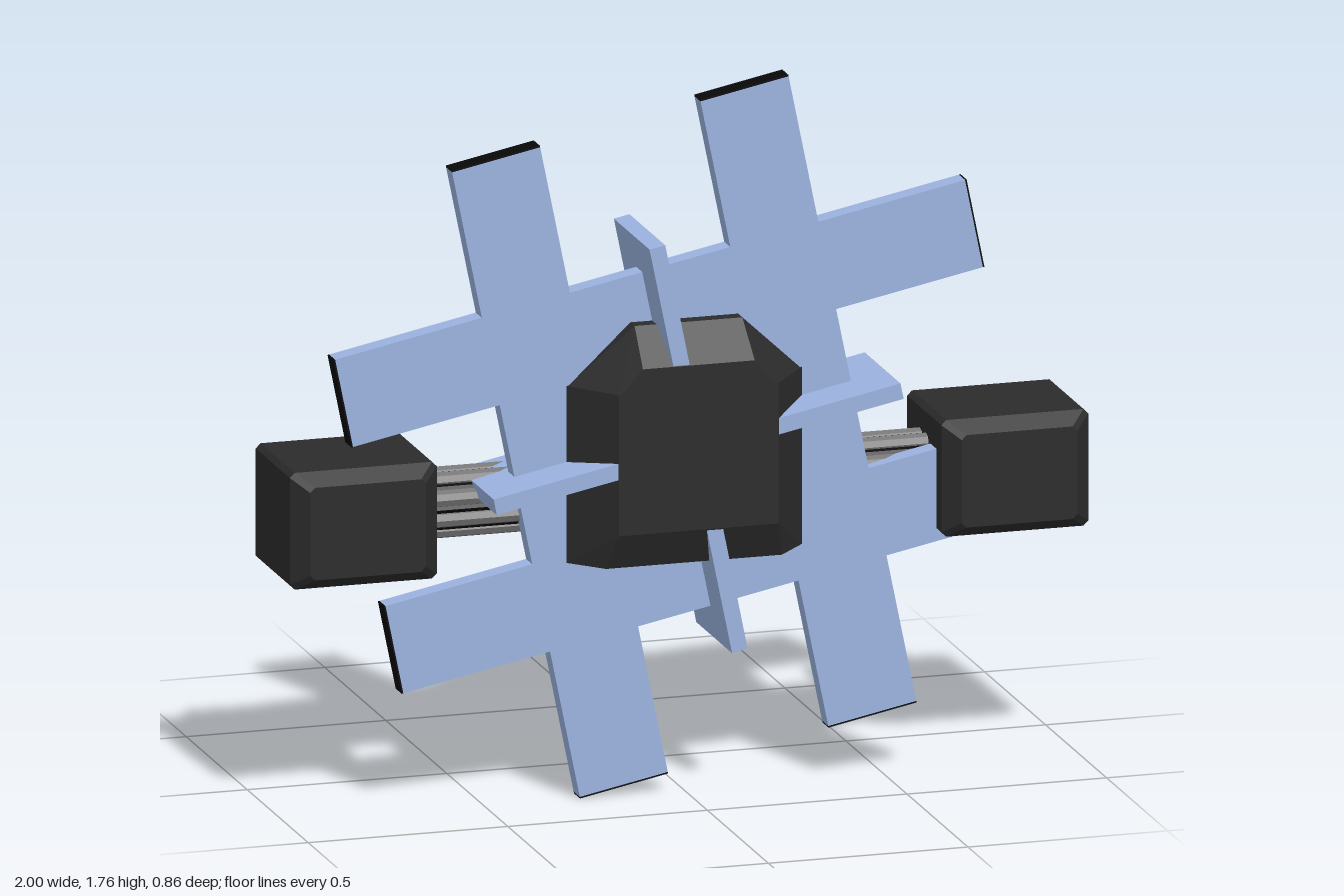
import * as THREE from 'three';
import { ConvexGeometry } from 'three/addons/geometries/ConvexGeometry.js';

const mat = (color) => new THREE.MeshStandardMaterial({ color, flatShading: true });
const DARK = mat(0x2b2b2b), BLACK = mat(0x080808), BLUE = mat(0x9bb3e0), GREY = mat(0x777777);

function add(parent, name, geometry, material, x = 0, y = 0, z = 0) {
  const mesh = new THREE.Mesh(geometry, material);
  mesh.name = name;
  mesh.position.set(x, y, z);
  parent.add(mesh);
  return mesh;
}

// Faceted solid from half its corners, mirrored in x
function mirroredHull(half) {
  const pts = half.flatMap(([x, y, z]) => [new THREE.Vector3(x, y, z), new THREE.Vector3(-x, y, z)]);
  return new ConvexGeometry(pts);
}

// Rectangular rings [halfWidth, halfHeight, z] joined along z
function loft(rings, corner) {
  const pos = [], idx = [], n = 8;
  for (const [w, h, z] of rings) {
    const c = corner;
    for (const [x, y] of [[w, -h + c], [w, h - c], [w - c, h], [-w + c, h], [-w, h - c], [-w, -h + c], [-w + c, -h], [w - c, -h]])
      pos.push(x, y, z);
  }
  const quad = (a, b, c, d) => idx.push(a, b, c, a, c, d);
  for (let r = 0; r < rings.length - 1; r++)
    for (let i = 0; i < n; i++) {
      const j = (i + 1) % n;
      quad(r * n + i, r * n + j, (r + 1) * n + j, (r + 1) * n + i);
    }
  const last = (rings.length - 1) * n;
  for (let i = 1; i < n - 1; i++) {
    idx.push(0, i + 1, i);
    idx.push(last, last + i, last + i + 1);
  }
  const g = new THREE.BufferGeometry();
  g.setAttribute('position', new THREE.Float32BufferAttribute(pos, 3));
  g.setIndex(idx);
  const flat = g.toNonIndexed();
  flat.computeVertexNormals();
  return flat;
}

// Side pod with tapered nozzle and a square exhaust hole
function makePod() {
  const pod = new THREE.Group();
  pod.name = 'pod';
  add(pod, 'podShell', loft([
    [0.045, 0.045, 0.0], [0.045, 0.045, -0.04], [0.08, 0.08, -0.04], [0.105, 0.11, 0.03],
    [0.184, 0.145, 0.07], [0.184, 0.145, 0.35], [0.145, 0.115, 0.39],
  ], 0.012), DARK);
  add(pod, 'exhaustFloor', new THREE.BoxGeometry(0.085, 0.085, 0.01), BLACK, 0, 0, -0.004);
  return pod;
}

// Strut: dark core with grey pipes around it
function makeStrut() {
  const strut = new THREE.Group();
  strut.name = 'strut';
  const rod = (name, r, m, y, z) => {
    add(strut, name, new THREE.CylinderGeometry(r, r, 0.42, 8), m, 0, y, z).rotation.z = Math.PI / 2;
  };
  rod('strutCore', 0.075, BLACK, 0, 0);
  for (let i = 0; i < 8; i++) {
    const a = (i + 0.5) * Math.PI / 4;
    rod('strutPipe', 0.021, GREY, 0.066 * Math.sin(a), 0.066 * Math.cos(a));
  }
  return strut;
}

export function createModel() {
  const model = new THREE.Group();
  model.name = 'spacecraft';

  // Hull, cockpit window and canopy
  add(model, 'hull', mirroredHull([
    [0.2, 0.68, 0.43], [0.2, 1.03, 0.43], [0.22, 0.59, 0.39], [0.295, 0.59, 0.31], [0.295, 1.03, 0.31],
    [0.295, 1.03, 0.14], [0.295, 0.88, 0], [0.295, 0.75, -0.09], [0.295, 0.6, -0.09],
    [0.2, 0.59, -0.19], [0.19, 0.61, -0.22], [0.19, 0.77, -0.22], [0.18, 0.88, -0.16],
  ]), DARK);
  add(model, 'cockpitWindow', mirroredHull([
    [0.29, 1.03, 0.14], [0.288, 0.885, 0.01], [0.17, 0.885, -0.145], [0.12, 1.03, -0.06], [0.29, 1.03, 0.1],
  ]), BLACK);
  add(model, 'canopy', mirroredHull([
    [0.295, 1.025, 0.31], [0.295, 1.025, 0.1], [0.11, 1.025, -0.08], [0.2, 1.025, 0.43],
    [0.14, 1.09, 0.43], [0.135, 1.175, 0.345], [0.135, 1.175, 0.245],
  ]), DARK);

  // Pointed turret leaning out of the cockpit
  const profile = [[0, 0], [0.03, 0.035], [0.055, 0.045], [0.062, 0.065], [0.078, 0.1], [0.07, 0.135], [0.085, 0.16], [0.085, 0.24], [0.06, 0.28], [0, 0.29]];
  const turret = add(model, 'turret', new THREE.LatheGeometry(
    profile.map(([r, d]) => new THREE.Vector2(r, d)), 12), BLUE, 0, 0.895, -0.3);
  turret.rotation.x = Math.PI / 2 - 0.2;

  // Rear gun: neck and faceted head
  add(model, 'gunNeck', mirroredHull([
    [0.09, 0.715, -0.2], [0.09, 0.75, -0.2], [0.065, 0.775, -0.2],
    [0.09, 0.715, -0.37], [0.09, 0.75, -0.37], [0.065, 0.775, -0.37],
  ]), DARK);
  add(model, 'gunHead', mirroredHull([-0.36, -0.43].flatMap((z) => [
    [0.1, 0.69, z], [0.12, 0.71, z], [0.12, 0.74, z], [0.07, 0.79, z],
  ])), DARK);

  // Pods and struts on both sides
  for (const s of [1, -1]) {
    const pod = makePod();
    pod.position.set(s * 0.816, 0.735, 0);
    const strut = makeStrut();
    strut.position.set(s * 0.46, 0.735, 0.2);
    model.add(pod, strut);
  }

  // Tilted wing lattice: crossing bars with black tips, plus thin deep fins
  const wings = new THREE.Group();
  wings.name = 'wings';
  wings.position.set(0, 0.88, 0.285);
  wings.rotation.z = 0.2;
  model.add(wings);
  for (const turn of [0, Math.PI / 2]) {
    const set = new THREE.Group();
    set.name = 'wingSet';
    set.rotation.z = turn;
    wings.add(set);
    for (const s of [1, -1]) {
      add(set, 'wingBar', new THREE.BoxGeometry(0.225, 1.61, 0.05), BLUE, s * 0.3175);
      for (const e of [1, -1])
        add(set, 'wingTip', new THREE.BoxGeometry(0.225, 0.004, 0.05), BLACK, s * 0.3175, e * 0.807);
    }
    add(set, 'fin', new THREE.BoxGeometry(0.04, 1.04, 0.293), BLUE, 0, 0, -0.003);
  }
  return model;
}
